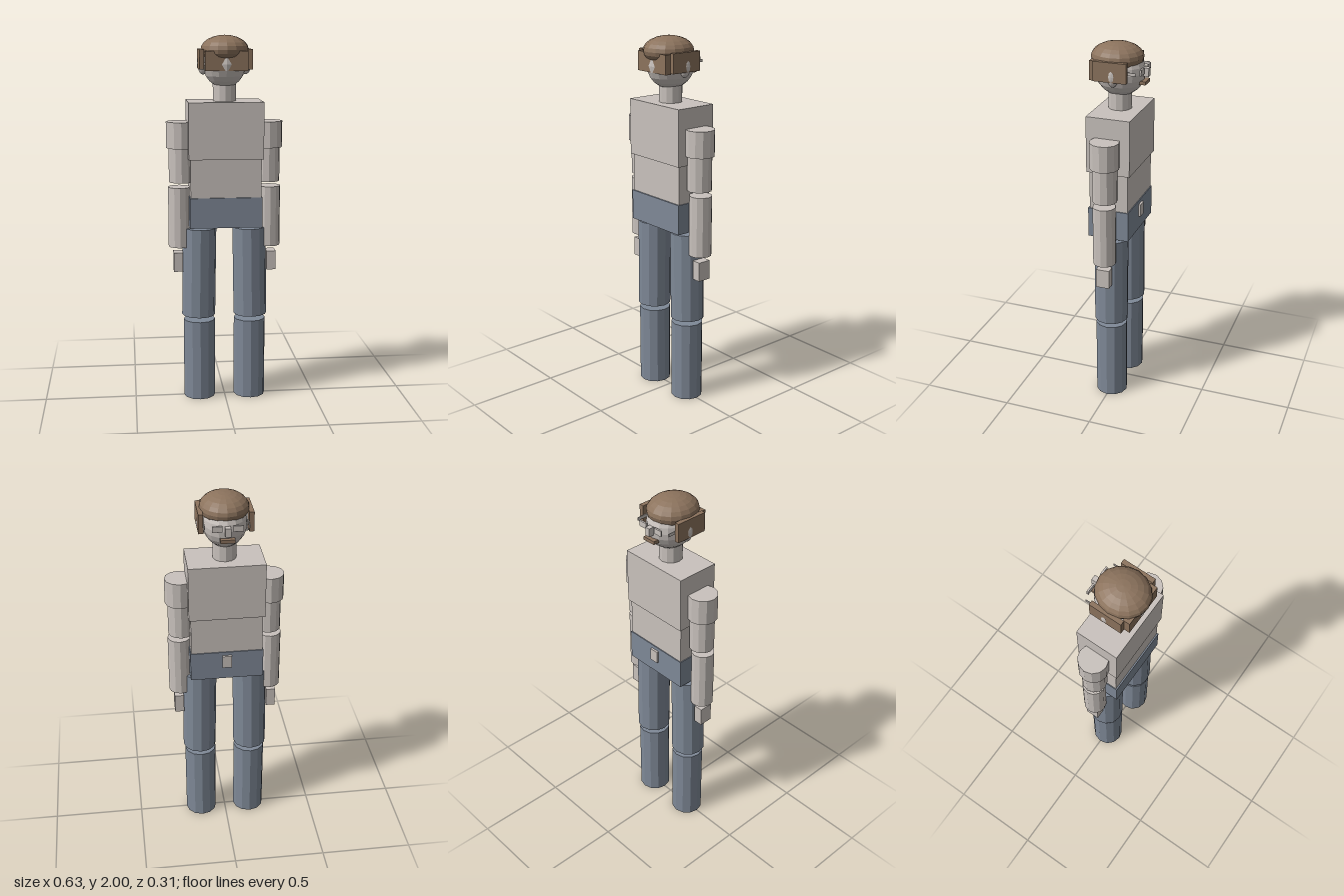
import * as THREE from 'three';

export function createModel() {
  const model = new THREE.Group();
  model.name = 'blockFigure';

  const material = (name, color) => {
    const m = new THREE.MeshStandardMaterial({ color });
    m.name = name;
    return m;
  };
  const pale = material('paleClay', 0xc9c2bd);
  const slate = material('slateTrousers', 0x7f8997);
  const brown = material('brownHair', 0x8c735d);

  const add = (name, geometry, mat, x, y, z) => {
    const flat = geometry.index ? geometry.toNonIndexed() : geometry;
    flat.computeVertexNormals(); // faceted look
    const mesh = new THREE.Mesh(flat, mat);
    mesh.name = name;
    mesh.position.set(x, y, z);
    model.add(mesh);
    return mesh;
  };
  // Box given by its limits on each axis
  const box = (name, mat, [x0, x1], [y0, y1], [z0, z1]) =>
    add(name, new THREE.BoxGeometry(x1 - x0, y1 - y0, z1 - z0), mat,
      (x0 + x1) / 2, (y0 + y1) / 2, (z0 + z1) / 2);
  // Upright twelve-sided cylinder between two heights
  const column = (name, mat, r, y0, y1, x, z = 0) =>
    add(name, new THREE.CylinderGeometry(r, r, y1 - y0, 12), mat, x, (y0 + y1) / 2, z);
  const ellipsoid = (name, mat, rx, ry, rz, x, y, z) =>
    add(name, new THREE.SphereGeometry(1, 16, 12).scale(rx, ry, rz), mat, x, y, z);

  // Trunk
  box('chest', pale, [-0.2, 0.2], [1.352, 1.654], [-0.121, 0.115]);
  box('waist', pale, [-0.19, 0.19], [1.145, 1.352], [-0.108, 0.102]);
  box('hips', slate, [-0.195, 0.195], [0.982, 1.145], [-0.113, 0.11]);
  box('buckle', pale, [-0.025, 0.025], [1.055, 1.125], [-0.125, -0.11]);

  // Neck and head
  column('neck', pale, 0.062, 1.64, 1.76, 0);
  ellipsoid('head', pale, 0.115, 0.127, 0.133, 0, 1.85, 0);

  // Hair
  ellipsoid('hairCap', brown, 0.127, 0.075, 0.138, 0, 1.925, 0.0145);
  box('hairPanel', brown, [-0.112, 0.112], [1.818, 1.92], [0.09, 0.127]);

  // Face
  box('nose', pale, [-0.014, 0.014], [1.835, 1.88], [-0.157, -0.12]);
  box('mouth', brown, [-0.037, 0.037], [1.797, 1.815], [-0.148, -0.115]);

  // Mirrored parts
  for (const s of [1, -1]) {
    const span = (a, b) => (s > 0 ? [a, b] : [-b, -a]);

    box('sideHair', brown, span(0.115, 0.14), [1.824, 1.927], [-0.08, 0.098]);
    ellipsoid('ear', pale, 0.031, 0.06, 0.03, s * 0.113, 1.853, 0);
    box('eye', pale, span(0.028, 0.078), [1.855, 1.885], [-0.139, -0.13]);
    box('templeStrip', pale, span(0.11, 0.114), [1.862, 1.878], [-0.12, -0.05]);

    column('shoulder', pale, 0.078, 1.405, 1.546, s * 0.236);
    column('upperArm', pale, 0.066, 1.22, 1.41, s * 0.235);
    column('forearm', pale, 0.061, 0.864, 1.193, s * 0.245);
    box('hand', pale, span(0.23, 0.28), [0.727, 0.832], [-0.037, 0.037]);

    const thigh = column('thigh', slate, 0.092, 0.474, 0.967, s * 0.14);
    thigh.rotation.z = s * 0.015;
    column('shin', slate, 0.087, 0, 0.447, s * 0.14);
  }

  return model;
}
